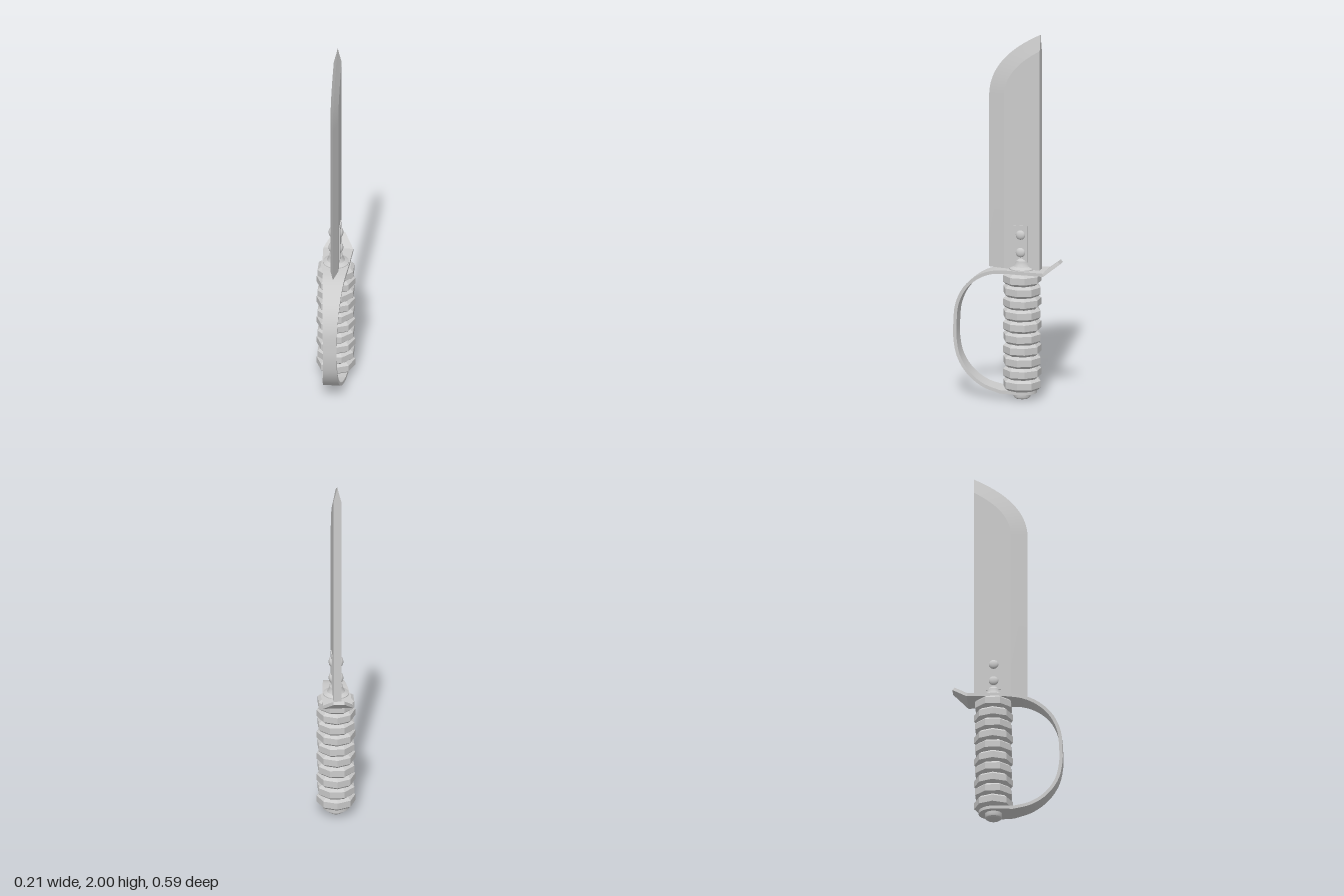
import * as THREE from 'three';
import { toCreasedNormals } from 'three/addons/utils/BufferGeometryUtils.js';

const AXIS_Z = -0.077; // centre line of the grip

// Skin a list of closed loops, capping both ends
function loft(rows, crease) {
  const n = rows[0].length, pos = [], index = [];
  rows.forEach(row => row.forEach(p => pos.push(p.x, p.y, p.z)));
  for (let i = 0; i < rows.length - 1; i++) {
    for (let j = 0; j < n; j++) {
      const a = i * n + j, b = i * n + (j + 1) % n;
      index.push(a, b, b + n, a, b + n, a + n);
    }
  }
  const last = (rows.length - 1) * n;
  for (let j = 1; j < n - 1; j++) {
    index.push(0, j + 1, j, last, last + j, last + j + 1);
  }
  const g = new THREE.BufferGeometry();
  g.setAttribute('position', new THREE.Float32BufferAttribute(pos, 3));
  g.setIndex(index);
  return toCreasedNormals(g, crease);
}

function lathe(points, segments) {
  return new THREE.LatheGeometry(points.map(p => new THREE.Vector2(...p)), segments);
}

// Blade: flat sides, ground edge that follows the curved tip
function bladeGeometry() {
  const spine = -0.18, half = 0.021, grind = 0.087;
  const tip = new THREE.QuadraticBezierCurve(
    new THREE.Vector2(0.105, 1.65), new THREE.Vector2(0.105, 1.86), new THREE.Vector2(spine, 2));
  const section = (edge, y, bevel) => {
    const width = edge - spine;
    const t = half * Math.min(1, width / bevel);
    const z = Math.max(spine, edge - bevel);
    return [[0, edge], [t, z], [t, spine], [-t, spine], [-t, z]]
      .map(([x, pz]) => new THREE.Vector3(x, y, pz));
  };
  const rows = [section(0.105, 0.71, grind)];
  for (let i = 0; i <= 24; i++) {
    const p = tip.getPoint(i / 24), d = tip.getTangent(i / 24);
    rows.push(section(p.x, p.y, grind / d.y));
  }
  return loft(rows, 0.12);
}

// Guard: one flat strip, bent tail, plate, knuckle bow and bottom plate
function guardGeometry() {
  const bow = new THREE.CatmullRomCurve3([
    [0, 0.7], [0.08, 0.69], [0.16, 0.655], [0.23, 0.59], [0.273, 0.5], [0.284, 0.4],
    [0.284, 0.31], [0.262, 0.21], [0.205, 0.125], [0.125, 0.068], [0.03, 0.04]
  ].map(([z, y]) => new THREE.Vector3(0, y, z)));
  // [z, y, half width]
  const path = [[-0.289, 0.76, 0.03], [-0.213, 0.7, 0.08], [-0.08, 0.7, 0.073]];
  const steps = 44;
  for (let i = 0; i <= steps; i++) {
    const u = i / steps, p = bow.getPoint(u);
    const w = u < 0.55 ? THREE.MathUtils.lerp(0.067, 0.036, Math.sin(u / 0.55 * Math.PI / 2))
      : THREE.MathUtils.lerp(0.036, 0.062, ((u - 0.55) / 0.45) ** 2);
    path.push([p.z, p.y, w]);
  }
  // Rounded end under the grip
  for (let i = 0; i <= 8; i++) {
    const a = i / 8 * Math.PI / 2;
    path.push([AXIS_Z - 0.079 * Math.sin(a), 0.04, Math.max(0.008, 0.072 * Math.cos(a))]);
  }
  const h = 0.009, pts = path.map(([z, y]) => new THREE.Vector3(0, y, z));
  const rows = pts.map((p, i) => {
    const before = pts[Math.max(0, i - 1)], after = pts[Math.min(pts.length - 1, i + 1)];
    const t = after.clone().sub(before).normalize();
    const normal = t.clone().cross(new THREE.Vector3(1, 0, 0));
    const w = path[i][2];
    return [[-w, -h], [w, -h], [w, h], [-w, h]].map(([x, k]) =>
      p.clone().addScaledVector(normal, k).setX(x));
  });
  return loft(rows, 0.5);
}

export function createModel() {
  const model = new THREE.Group();
  const smooth = new THREE.MeshStandardMaterial({ color: 0xcccccc });
  const faceted = new THREE.MeshStandardMaterial({ color: 0xcccccc, flatShading: true });
  const add = (name, geometry, x, y, z, material = smooth, parent = model) => {
    const mesh = new THREE.Mesh(geometry, material);
    mesh.name = name;
    mesh.position.set(x, y, z);
    parent.add(mesh);
    return mesh;
  };

  add('blade', bladeGeometry(), 0, 0, 0);
  add('guard', guardGeometry(), 0, 0, 0);

  // Grip: stacked bevelled rings, every other one turned
  const grip = new THREE.Group();
  grip.name = 'grip';
  model.add(grip);
  const count = 10, pitch = 0.0642;
  const ring = lathe([[0, -0.032], [0.086, -0.032], [0.103, -0.018], [0.103, 0.018],
    [0.086, 0.032], [0, 0.032]], 8);
  for (let i = 0; i < count; i++) {
    const mesh = add('gripRing', ring, 0, 0.081 + i * pitch, AXIS_Z, faceted, grip);
    mesh.rotation.y = (i % 2) * Math.PI / 8;
  }

  // Stepped collar between guard and blade
  add('collar', toCreasedNormals(lathe([[0, 0.7], [0.07, 0.7], [0.069, 0.714], [0.048, 0.725],
    [0.039, 0.74], [0.037, 0.757], [0.025, 0.772], [0, 0.772]], 32), 0.5), 0, 0, AXIS_Z);

  // Riveted strap on both blade faces
  add('bladeStrap', new THREE.BoxGeometry(0.052, 0.2, 0.08), 0, 0.85, AXIS_Z + 0.002);
  const dome = new THREE.SphereGeometry(0.026, 20, 8, 0, Math.PI * 2, 0, Math.PI / 2);
  for (const side of [-1, 1]) {
    for (const y of [0.803, 0.899]) {
      const rivet = add('rivet', dome, side * 0.025, y, AXIS_Z + 0.002);
      rivet.rotation.z = -side * Math.PI / 2;
      rivet.scale.y = 0.55;
    }
  }

  // Pommel nut below the bottom plate
  add('pommel', toCreasedNormals(lathe([[0, 0], [0.035, 0], [0.043, 0.006], [0.046, 0.014],
    [0.046, 0.034], [0, 0.034]], 32), 0.5), 0, 0, AXIS_Z);

  return model;
}
